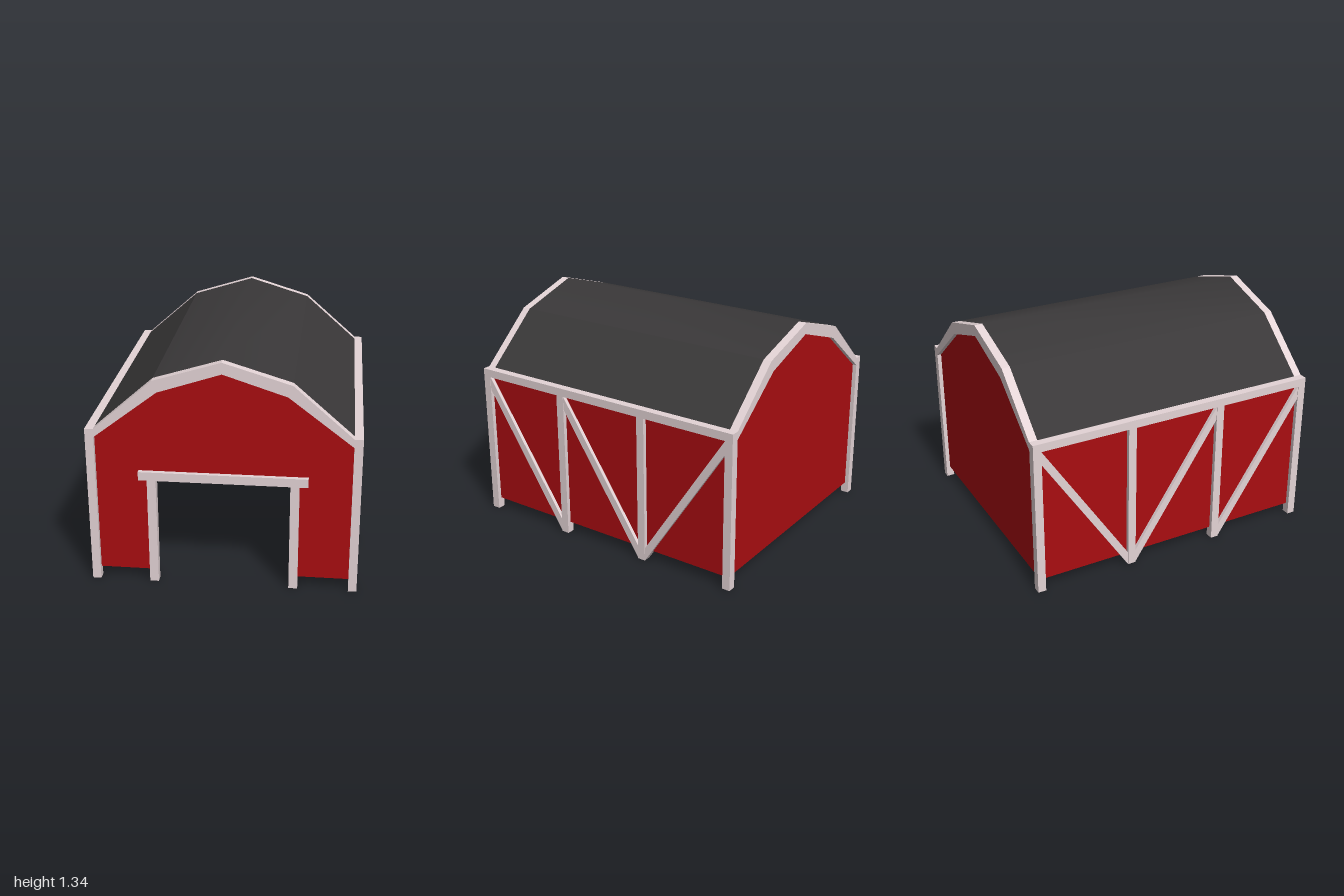
import * as THREE from 'three';

const W = 0.753, L = 0.8825, T = 0.048;      // half width, half length, timber thickness
const PX = W - T / 2, PZ = L - T / 2;        // post centre lines
const EAVE = 0.93, SILL = 0.065, BEAM = EAVE - T;
const ROOF = [[-W + T, EAVE], [-0.376, 1.22], [0, 1.335], [0.376, 1.22], [W - T, EAVE]];
const UNDER = [[-W + T, BEAM], [-0.35, 1.155], [0, 1.27], [0.35, 1.155], [W - T, BEAM]];

const trim = new THREE.MeshStandardMaterial({ color: 0xe4d4d6 });
const red = new THREE.MeshStandardMaterial({ color: 0xaa0d11, side: THREE.DoubleSide });
const dark = new THREE.MeshStandardMaterial({ color: 0x3a3839 });
const lining = new THREE.MeshStandardMaterial({ color: 0xe4d4d6, side: THREE.BackSide });

const shapeOf = (pts) => new THREE.Shape(pts.map(([x, y]) => new THREE.Vector2(x, y)));

function add(parent, name, geometry, material, x = 0, y = 0, z = 0) {
  const mesh = new THREE.Mesh(geometry, material);
  mesh.name = name;
  mesh.position.set(x, y, z);
  parent.add(mesh);
  return mesh;
}

const box = (parent, name, w, h, d, x, y, z) =>
  add(parent, name, new THREE.BoxGeometry(w, h, d), trim, x, y, z);

// Upward-facing strip along a profile, smooth across its own points
function strip(profile, halfLength) {
  const pos = [], index = [];
  profile.forEach(([x, y], i) => {
    pos.push(x, y, halfLength, x, y, -halfLength);
    if (i > 0) {
      const a = 2 * (i - 1);
      index.push(a, a + 2, a + 3, a, a + 3, a + 1);
    }
  });
  const g = new THREE.BufferGeometry();
  g.setAttribute('position', new THREE.Float32BufferAttribute(pos, 3));
  g.setIndex(index);
  g.computeVertexNormals();
  return g;
}

// Diagonal brace in the side wall, with upright cut ends
function brace(parent, side, zTop, zFoot) {
  const s = shapeOf([[-zTop, BEAM], [-zTop, BEAM - 0.08], [-zFoot, 0], [-zFoot, 0.08]]);
  const depth = T - 0.006;
  const g = new THREE.ExtrudeGeometry(s, { depth, bevelEnabled: false });
  g.translate(0, 0, -depth / 2);
  g.rotateY(Math.PI / 2);
  add(parent, 'diagonalBrace', g, trim, side * PX, 0, 0);
}

export function createModel() {
  const model = new THREE.Group();
  model.name = 'barn';
  const barn = new THREE.Group();
  barn.name = 'barnBody';
  barn.rotation.y = THREE.MathUtils.degToRad(10);
  model.add(barn);

  // Side walls: posts, eave beam, red panel and braces
  const third = PZ / 3;
  for (const side of [-1, 1]) {
    const wall = new THREE.Group();
    wall.name = side > 0 ? 'leftWall' : 'rightWall';
    barn.add(wall);
    for (const z of [-PZ, -third, third, PZ]) {
      box(wall, 'post', T, BEAM, T, side * PX, BEAM / 2, z);
    }
    box(wall, 'eaveBeam', T, T, 2 * L, side * PX, EAVE - T / 2, 0);
    const panel = new THREE.PlaneGeometry(2 * PZ, BEAM - SILL);
    panel.rotateY(side * Math.PI / 2);
    add(wall, 'sidePanel', panel, red, side * PX, (BEAM + SILL) / 2, 0);

    const h = T / 2;
    brace(wall, side, PZ - h, third + h);
    brace(wall, side, third - h, -third + h);
    brace(wall, side, -PZ + h, -third - h);
  }

  // Gable ends: arched timber over a red wall; the front one has a doorway
  const arch = new THREE.ExtrudeGeometry(
    shapeOf([...UNDER, ...[...ROOF].reverse()]), { depth: T, bevelEnabled: false });
  arch.translate(0, 0, -T / 2);
  const wallTop = [...UNDER].reverse().map(([x, y]) => [x, y + 0.01]);
  const doorHalf = 0.395, doorTop = 0.66;
  const doorway = [[-doorHalf, SILL], [-doorHalf, doorTop], [doorHalf, doorTop], [doorHalf, SILL]];
  for (const end of [-1, 1]) {
    const where = end > 0 ? 'front' : 'back';
    add(barn, where + 'Arch', arch, trim, 0, 0, end * PZ);
    const outline = [[-PX, SILL], ...(end > 0 ? doorway : []), [PX, SILL], [PX, BEAM], ...wallTop, [-PX, BEAM]];
    add(barn, where + 'Wall', new THREE.ShapeGeometry(shapeOf(outline)), red, 0, 0, end * PZ);
  }

  // Door frame
  const header = 0.635;
  for (const s of [-1, 1]) {
    box(barn, 'doorPost', 0.05, header, T, s * doorHalf, header / 2, PZ);
  }
  box(barn, 'doorHeader', 0.935, 0.05, T + 0.004, 0, header + 0.025, PZ);

  // Roof: steep lower slopes, softly rounded ridge, pale lining beneath
  const roof = new THREE.Group();
  roof.name = 'roof';
  barn.add(roof);
  for (const part of [ROOF.slice(0, 2), ROOF.slice(1, 4), ROOF.slice(3)]) {
    const g = strip(part, L - T);
    add(roof, 'roofSlope', g, dark);
    add(roof, 'roofLining', g, lining, 0, -0.012, 0);
  }
  return model;
}
